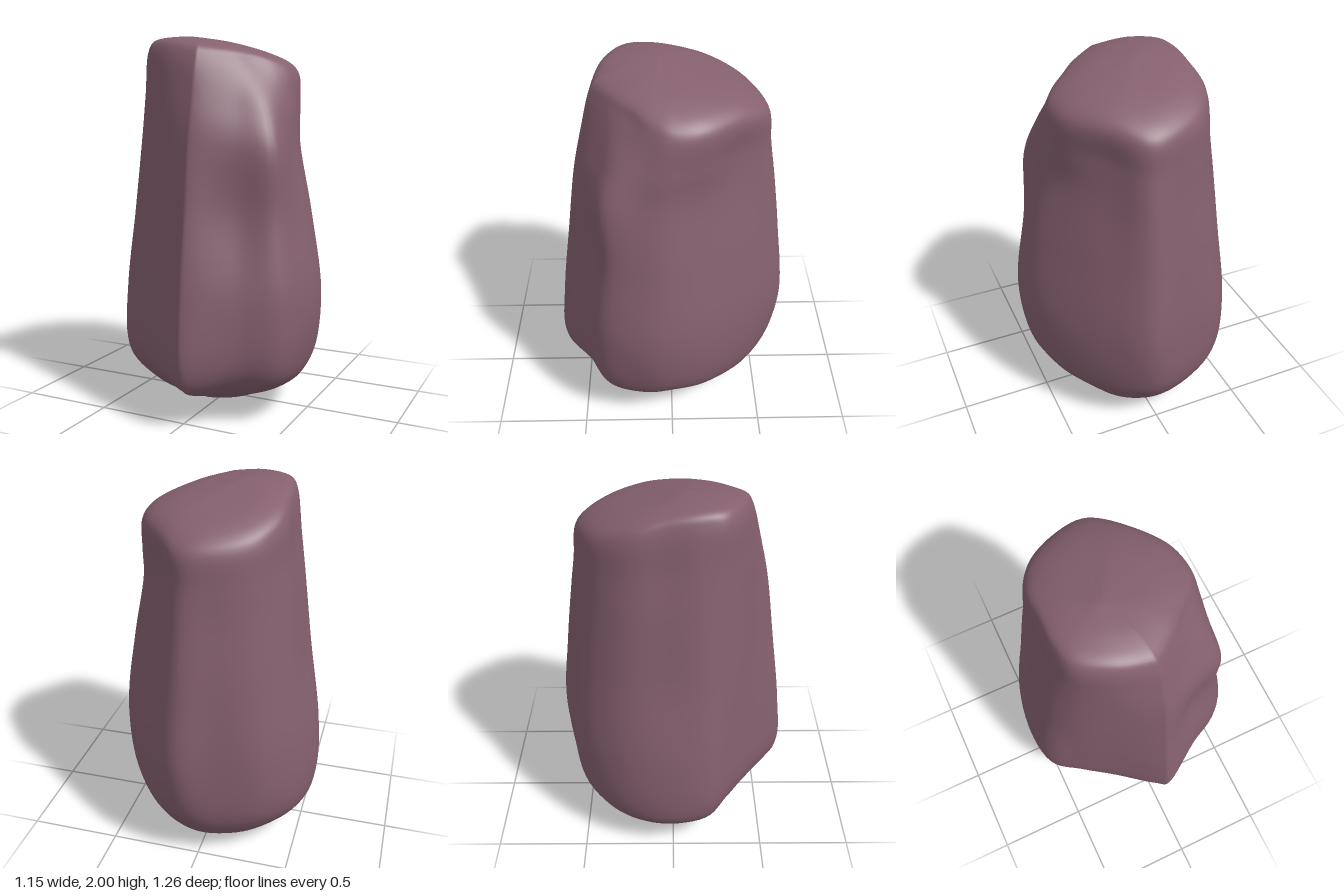
import * as THREE from 'three';
import { mergeVertices } from 'three/addons/utils/BufferGeometryUtils.js';

// Directions of the section points, in degrees from +z towards +x
const ANGLES = [8, 32, 52, 72, 90, 115, 148, 171, 190, 215, 240, 265, 290, 310, 335, 360];

// Horizontal sections: height, then the radius in each direction
const SECTIONS = [
  [0.10, [.33, .32, .32, .30, .29, .32, .39, .43, .44, .44, .43, .42, .40, .36, .32, .32]],
  [0.21, [.58, .49, .53, .50, .46, .45, .48, .52, .53, .53, .54, .54, .53, .46, .45, .55]],
  [0.33, [.63, .56, .60, .56, .53, .50, .525, .58, .57, .58, .58, .57, .57, .50, .49, .60]],
  [0.65, [.61, .57, .62, .60, .565, .52, .55, .63, .58, .60, .58, .56, .56, .50, .49, .59]],
  [1.10, [.55, .49, .56, .53, .505, .455, .49, .585, .55, .55, .52, .48, .50, .48, .465, .535]],
  [1.50, [.50, .49, .545, .47, .435, .395, .42, .535, .51, .50, .47, .43, .45, .45, .44, .485]],
  [1.72, [.45, .42, .46, .44, .425, .40, .405, .505, .495, .48, .44, .395, .42, .435, .425, .445]],
  [1.93, [.39, .34, .33, .37, .40, .40, .415, .49, .48, .46, .42, .37, .39, .42, .40, .40]],
];

// Section scaled about a centre, for the rounded ends
function ring(y, radii, scale = 1, cx = 0, cz = 0) {
  return radii.map((r, i) => {
    const a = THREE.MathUtils.degToRad(ANGLES[i]);
    const x = cx + (Math.sin(a) * r - cx) * scale;
    const z = cz + (Math.cos(a) * r - cz) * scale;
    // The top slopes down towards the back and the +x side
    const dx = x + 0.17, dz = z - 0.15;
    const drop = (0.5 * (dx * dx + dz * dz) + 0.25 * dx * dz) * (y / 2) ** 4;
    return new THREE.Vector3(x, y - drop, z);
  });
}

function stoneGeometry(around = 96, along = 84) {
  const low = SECTIONS[0][1], high = SECTIONS[SECTIONS.length - 1][1];
  const rings = [
    ring(0, low, 0, -0.09, -0.05),
    ring(0.025, low, 0.55, -0.09, -0.05),
    ...SECTIONS.map(([y, radii]) => ring(y, radii)),
    ring(1.985, high, 0.92, -0.06, -0.04),
    ring(2.0, high, 0.65, -0.06, -0.04),
    ring(2.005, high, 0, -0.1, 0.05),
  ];
  // Smooth each section, then run a curve from bottom to top through them
  const loops = rings.map((points) => {
    const curve = new THREE.CatmullRomCurve3(points, true, 'catmullrom', 0.5);
    return Array.from({ length: around }, (_, i) => curve.getPoint(i / around));
  });
  const positions = [], index = [];
  for (let i = 0; i < around; i++) {
    const curve = new THREE.CatmullRomCurve3(loops.map((loop) => loop[i]), false, 'centripetal');
    for (let j = 0; j <= along; j++) {
      const p = curve.getPoint(j / along);
      positions.push(p.x, Math.max(0, p.y), p.z);
      const a = i * (along + 1) + j, b = ((i + 1) % around) * (along + 1) + j;
      if (j < along) {
        if (j > 0) index.push(a, b, b + 1);
        if (j < along - 1) index.push(a, b + 1, a + 1);
        else index.push(a, b, a + 1);
      }
    }
  }
  const geometry = new THREE.BufferGeometry();
  geometry.setAttribute('position', new THREE.Float32BufferAttribute(positions, 3));
  geometry.setIndex(index);
  const merged = mergeVertices(geometry, 1e-5);
  merged.computeVertexNormals();
  return merged;
}

export function createModel() {
  const mauveStone = new THREE.MeshStandardMaterial({ color: 0x85606f });
  mauveStone.name = 'mauveStone';
  const stone = new THREE.Mesh(stoneGeometry(), mauveStone);
  stone.name = 'standingStone';
  const model = new THREE.Group();
  model.name = 'rock';
  model.add(stone);
  return model;
}
